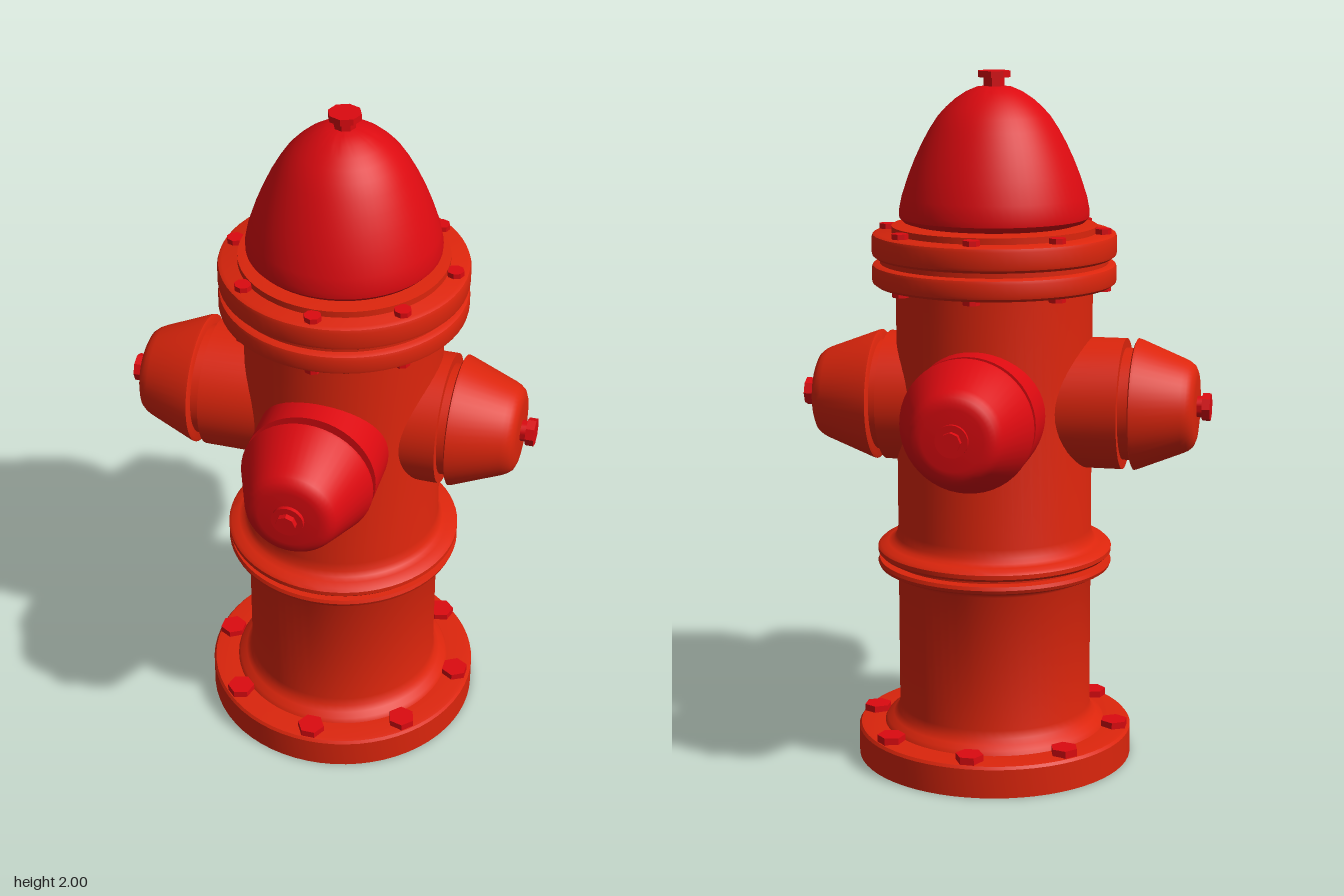
import * as THREE from 'three';
import { toCreasedNormals } from 'three/addons/utils/BufferGeometryUtils.js';

const bodyMat = new THREE.MeshStandardMaterial({ color: 0xdc250c });
const redMat = new THREE.MeshStandardMaterial({ color: 0xdc0a10 });
const AXIS_X = 0.03;
const NOZZLE_Y = 1.065;

// Surface of revolution from [radius, height] pairs listed bottom to top
function lathe(name, pairs, material, segments = 64) {
  const points = pairs.map(([r, y]) => new THREE.Vector2(r, y));
  const geometry = toCreasedNormals(new THREE.LatheGeometry(points, segments), 0.6);
  const mesh = new THREE.Mesh(geometry, material);
  mesh.name = name;
  return mesh;
}

// Faceted bolt head or nut standing on y
function nut(name, radius, y, height, sides = 8) {
  const geometry = toCreasedNormals(new THREE.CylinderGeometry(radius, radius, height, sides), 0.3);
  const mesh = new THREE.Mesh(geometry, redMat);
  mesh.name = name;
  mesh.position.y = y + height / 2;
  return mesh;
}

function boltCircle(name, ringRadius, boltRadius, y, height, sides) {
  const ring = new THREE.Group();
  ring.name = name;
  for (let i = 0; i < 8; i++) {
    const a = (i * Math.PI) / 4;
    const bolt = nut('bolt', boltRadius, y, height, sides);
    bolt.position.x = ringRadius * Math.cos(a);
    bolt.position.z = ringRadius * Math.sin(a);
    bolt.rotation.y = -a;
    ring.add(bolt);
  }
  return ring;
}

// Outlet: collar, groove, tapered cap and nut, all measured from the barrel axis
function nozzle(name, direction, collarEnd, capStart, capEnd, tip, material, wideHead) {
  const group = new THREE.Group();
  group.name = name;
  group.add(lathe('collar', [
    [0.187, 0.08], [0.187, collarEnd], [0.16, collarEnd], [0.16, capStart + 0.01],
  ], material, 48));
  group.add(lathe('cap', [
    [0, capStart], [0.18, capStart], [0.188, capStart + 0.004], [0.186, capStart + 0.012],
    [0.134, capEnd - 0.036], [0.127, capEnd - 0.022], [0.116, capEnd - 0.009],
    [0.1, capEnd - 0.002], [0.085, capEnd], [0, capEnd],
  ], material, 48));
  const middle = capEnd + (tip - capEnd) * 0.4;
  const washerRadius = wideHead ? 0.03 : 0.045;
  group.add(lathe('washer', [
    [washerRadius, capEnd - 0.01], [washerRadius, middle], [0, middle],
  ], redMat, 24));
  group.add(nut('capNut', wideHead ? 0.04 : 0.028, middle, tip - middle));
  group.quaternion.setFromUnitVectors(new THREE.Vector3(0, 1, 0), direction);
  group.position.y = NOZZLE_Y;
  return group;
}

export function createModel() {
  const model = new THREE.Group();
  model.name = 'fireHydrant';
  const hydrant = new THREE.Group();
  hydrant.name = 'hydrant';
  hydrant.position.x = AXIS_X;
  model.add(hydrant);

  // Base plate flowing into the barrel, with the double belt half way up
  hydrant.add(lathe('barrel', [
    [0, 0], [0.402, 0], [0.402, 0.084], [0.396, 0.092], [0.385, 0.094],
    [0.325, 0.096], [0.318, 0.108], [0.3, 0.118], [0.287, 0.132], [0.281, 0.155],
    [0.281, 0.55], [0.286, 0.56], [0.3, 0.568], [0.325, 0.572], [0.336, 0.578], [0.34, 0.588],
    [0.336, 0.598], [0.31, 0.6], [0.31, 0.612], [0.332, 0.612], [0.34, 0.62],
    [0.34, 0.632], [0.332, 0.64], [0.31, 0.645], [0.295, 0.652], [0.286, 0.665],
    [0.281, 0.69], [0.281, 1.41],
  ], bodyMat));

  // Paired flanges below the bonnet
  const flange = (name, y0, y1) => lathe(name, [
    [0, y0], [0.335, y0], [0.346, y0 + 0.008], [0.348, y0 + 0.016],
    [0.348, y1 - 0.014], [0.345, y1 - 0.005], [0.335, y1], [0, y1],
  ], bodyMat);
  hydrant.add(flange('lowerFlange', 1.4, 1.463));
  hydrant.add(lathe('gasket', [[0.325, 1.455], [0.325, 1.49]], bodyMat));
  hydrant.add(flange('upperFlange', 1.478, 1.55));
  hydrant.add(lathe('bonnetSeat', [
    [0.292, 1.54], [0.292, 1.568], [0.25, 1.572], [0, 1.572],
  ], bodyMat));

  // Domed bonnet and its operating nut
  hydrant.add(lathe('bonnet', [
    [0, 1.57], [0.235, 1.573], [0.258, 1.58], [0.269, 1.592], [0.27, 1.61],
    [0.262, 1.65], [0.242, 1.71], [0.224, 1.755], [0.203, 1.8], [0.181, 1.84],
    [0.158, 1.875], [0.135, 1.9], [0.11, 1.922], [0.08, 1.942], [0.05, 1.955], [0, 1.961],
  ], redMat));
  hydrant.add(nut('operatingStem', 0.03, 1.94, 0.045));
  hydrant.add(nut('operatingNut', 0.046, 1.982, 0.018));

  // Bolt rings
  hydrant.add(boltCircle('flangeTopBolts', 0.312, 0.024, 1.545, 0.02, 8));
  hydrant.add(boltCircle('flangeBottomBolts', 0.312, 0.024, 1.388, 0.02, 8));
  hydrant.add(boltCircle('baseBolts', 0.358, 0.04, 0.088, 0.026, 6));

  // Four outlets; the right one stands out further than the left
  const v = (x, z) => new THREE.Vector3(x, 0, z);
  hydrant.add(nozzle('leftNozzle', v(1, 0), 0.31, 0.335, 0.52, 0.56, bodyMat, true));
  hydrant.add(nozzle('rightNozzle', v(-1, 0), 0.38, 0.41, 0.587, 0.625, bodyMat, true));
  hydrant.add(nozzle('frontNozzle', v(0, 1), 0.348, 0.374, 0.556, 0.585, redMat, false));
  hydrant.add(nozzle('backNozzle', v(0, -1), 0.352, 0.376, 0.558, 0.587, redMat, false));
  return model;
}
